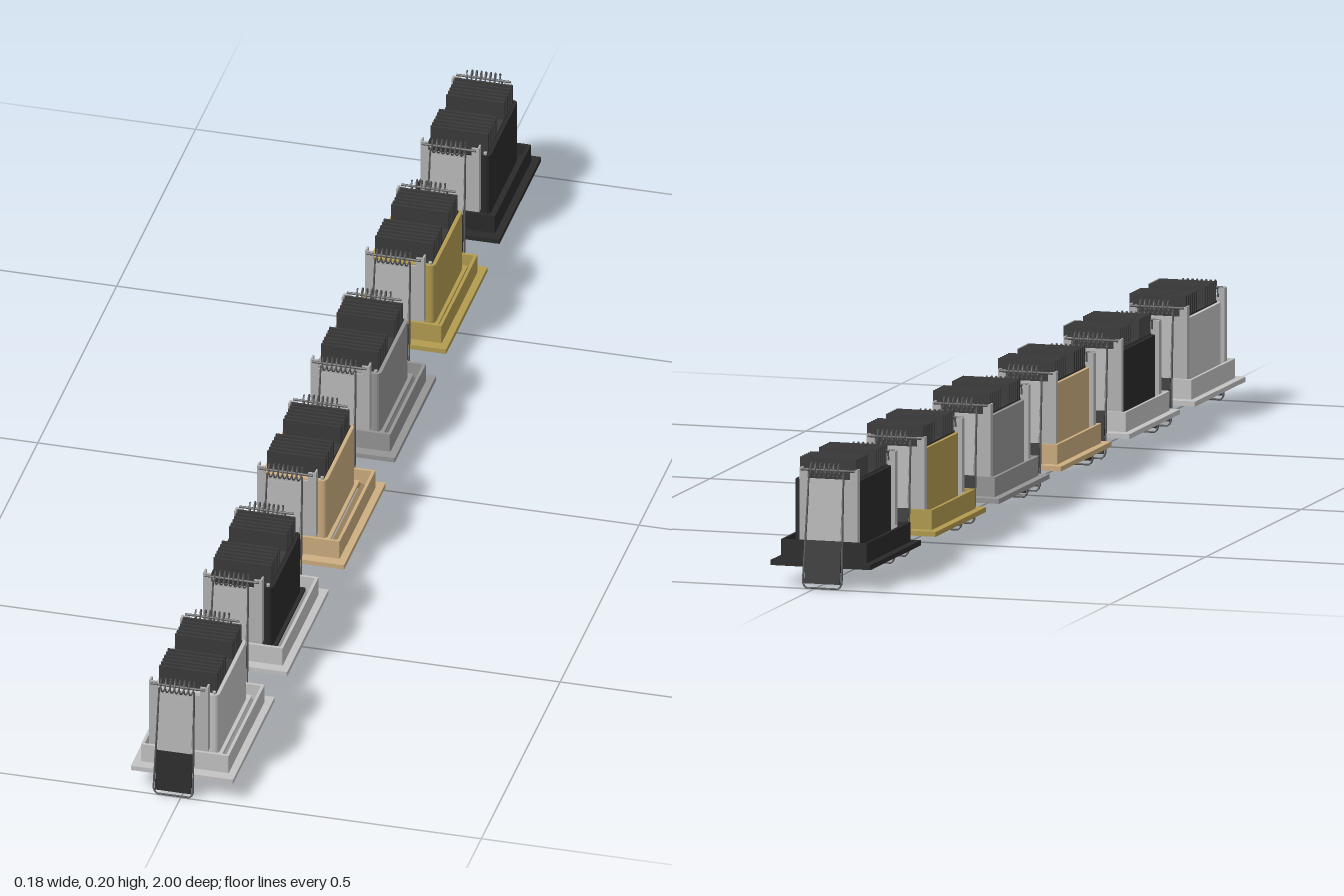
import * as THREE from 'three';

const mat = (name, color) => {
  const m = new THREE.MeshStandardMaterial({ color, side: THREE.DoubleSide });
  m.name = name;
  return m;
};

// Rectangle outline with optional corner radius, centred on (cx, cy)
function rect(Type, hx, hy, r = 0.002, cx = 0, cy = 0) {
  const p = new Type();
  p.moveTo(cx - hx + r, cy - hy);
  p.lineTo(cx + hx - r, cy - hy);
  p.quadraticCurveTo(cx + hx, cy - hy, cx + hx, cy - hy + r);
  p.lineTo(cx + hx, cy + hy - r);
  p.quadraticCurveTo(cx + hx, cy + hy, cx + hx - r, cy + hy);
  p.lineTo(cx - hx + r, cy + hy);
  p.quadraticCurveTo(cx - hx, cy + hy, cx - hx, cy + hy - r);
  p.lineTo(cx - hx, cy - hy + r);
  p.quadraticCurveTo(cx - hx, cy - hy, cx - hx + r, cy - hy);
  return p;
}

// Horizontal slab from y0 to y1 with holes
function slab(outline, holes, y0, y1) {
  outline.holes.push(...holes);
  const g = new THREE.ExtrudeGeometry(outline, { depth: y1 - y0, bevelEnabled: false, curveSegments: 4 });
  return g.rotateX(-Math.PI / 2).translate(0, y0, 0);
}

// Four sloping walls between two rectangles
function funnel(ax, az, ay, bx, bz, by) {
  const c = [[-1, -1], [1, -1], [1, 1], [-1, 1]];
  const pos = [];
  for (let i = 0; i < 4; i++) {
    const [p, q] = [c[i], c[(i + 1) % 4]];
    const a = [p[0] * ax, ay, p[1] * az], b = [q[0] * ax, ay, q[1] * az];
    const d = [p[0] * bx, by, p[1] * bz], e = [q[0] * bx, by, q[1] * bz];
    pos.push(...a, ...b, ...e, ...a, ...e, ...d);
  }
  const g = new THREE.BufferGeometry();
  g.setAttribute('position', new THREE.Float32BufferAttribute(pos, 3));
  g.computeVertexNormals();
  return g;
}

function add(parent, name, geo, material, x = 0, y = 0, z = 0) {
  const m = new THREE.Mesh(geo, material);
  m.name = name;
  m.position.set(x, y, z);
  parent.add(m);
  return m;
}

const box = (x, y, z) => new THREE.BoxGeometry(x, y, z);

// Sprung mounting clip on the +z end
function makeClip(steel, wire, rubber) {
  const g = new THREE.Group();
  g.name = 'springClip';
  // Upright bracket with two ears
  add(g, 'bracket', box(0.098, 0.125, 0.003), steel, 0, 0.1125, 0.103);
  for (const s of [-1, 1]) {
    add(g, 'bracketEar', box(0.013, 0.016, 0.003), steel, s * 0.0425, 0.183, 0.103);
    add(g, 'bracketSide', box(0.003, 0.12, 0.012), steel, s * 0.0475, 0.132, 0.098);
  }
  // Coil and its pin
  const pts = [];
  for (let i = 0; i <= 84; i++) {
    const a = (i / 12) * Math.PI * 2;
    pts.push(new THREE.Vector3(-0.027 + (0.054 * i) / 84, 0.19 + 0.011 * Math.cos(a), 0.11 + 0.011 * Math.sin(a)));
  }
  add(g, 'coil', new THREE.TubeGeometry(new THREE.CatmullRomCurve3(pts), 150, 0.0014, 5), wire);
  add(g, 'pin', new THREE.CylinderGeometry(0.002, 0.002, 0.09, 8).rotateZ(Math.PI / 2), wire, 0, 0.19, 0.11);
  // Leaning arm: blade, sleeve and wire loop
  const arm = new THREE.Group();
  arm.name = 'springArm';
  arm.position.set(0, 0.18, 0.117);
  arm.rotation.x = -Math.atan2(0.022, 0.18);
  g.add(arm);
  add(arm, 'blade', box(0.056, 0.1, 0.0015), steel, 0, -0.053, 0);
  add(arm, 'sleeve', box(0.06, 0.07, 0.004), rubber, 0, -0.137, 0);
  const loop = [[-0.029, 0.008], [-0.031, -0.09], [-0.033, -0.17], [-0.029, -0.179], [0.029, -0.179],
    [0.033, -0.17], [0.031, -0.09], [0.029, 0.008]].map(([x, y]) => new THREE.Vector3(x, y, 0));
  const path = new THREE.CurvePath();
  for (let i = 1; i < loop.length; i++) path.add(new THREE.LineCurve3(loop[i - 1], loop[i]));
  add(arm, 'wireLoop', new THREE.TubeGeometry(path, 80, 0.0016, 6), wire);
  return g;
}

function makeLight(trim, shell, m, trimX) {
  const g = new THREE.Group();
  g.name = 'twinDownlight';

  // Trim frame: flange, collar wall and sloping inner bevel
  const frame = new THREE.Group();
  frame.name = 'trimFrame';
  frame.position.x = trimX;
  g.add(frame);
  add(frame, 'flange', slab(rect(THREE.Shape, 0.085, 0.132), [rect(THREE.Path, 0.069, 0.114)], 0.035, 0.043), trim);
  add(frame, 'collar', slab(rect(THREE.Shape, 0.073, 0.114), [rect(THREE.Path, 0.068, 0.109)], 0.043, 0.075), trim);
  add(frame, 'innerBevel', funnel(0.07, 0.115, 0.036, 0.054, 0.094, 0.06), trim);

  // Lamp housing with two square openings
  const body = new THREE.Group();
  body.name = 'housing';
  body.position.x = -0.004;
  g.add(body);
  const openings = [-1, 1].map((s) => rect(THREE.Path, 0.041, 0.037, 0.001, 0, s * 0.043));
  add(body, 'baffle', slab(rect(THREE.Shape, 0.06, 0.098), openings, 0.058, 0.062), shell);
  add(body, 'housingWall', slab(rect(THREE.Shape, 0.054, 0.09, 0.01), [rect(THREE.Path, 0.051, 0.087, 0.009)], 0.06, 0.166), shell);
  add(body, 'housingTop', slab(rect(THREE.Shape, 0.054, 0.09, 0.01), [], 0.166, 0.17), shell);
  for (const s of [-1, 1]) {
    // Reflector and lamp
    add(body, 'reflector', funnel(0.041, 0.037, 0.06, 0.026, 0.024, 0.11), shell, 0, 0, s * 0.043);
    add(body, 'lampPlate', box(0.054, 0.003, 0.05), shell, 0, 0.111, s * 0.043);
    for (let i = -1; i <= 1; i++) for (let j = -1; j <= 1; j++) {
      add(body, 'lampLens', new THREE.CylinderGeometry(0.006, 0.0045, 0.008, 10), m.sink, i * 0.015, 0.106, s * 0.043 + j * 0.014);
    }
    // Heat sink fins
    for (let i = 0; i < 6; i++) {
      add(body, 'heatSinkFin', box(0.096, 0.036, 0.004), m.sink, 0, 0.187, s * 0.05 + (i - 2.5) * 0.0105);
    }
    // Corner screws
    for (const t of [-1, 1]) {
      add(body, 'screw', new THREE.CylinderGeometry(0.003, 0.003, 0.004, 8), m.steel, t * 0.045, 0.172, s * 0.084);
    }
  }
  add(body, 'heatSinkBase', box(0.096, 0.003, 0.165), m.sink, 0, 0.1715, 0);

  // One clip at each end
  for (const s of [0, 1]) {
    const clip = makeClip(m.steel, m.wire, m.rubber);
    clip.position.x = -0.013;
    clip.rotation.y = s * Math.PI;
    g.add(clip);
  }
  return g;
}

export function createModel() {
  const root = new THREE.Group();
  root.name = 'downlightRange';
  const m = {
    steel: mat('springSteel', 0xb4b4b4),
    wire: mat('darkWire', 0x5a5a5a),
    rubber: mat('rubber', 0x2c2c2c),
    sink: mat('heatSinkGrey', 0x3a3a3a),
  };
  const light = mat('lightGrey', 0xc4c4c4);
  const black = mat('black', 0x2a2a2a);
  const tan = mat('tan', 0xcdae80);
  const grey = mat('midGrey', 0x969696);
  const gold = mat('gold', 0xb39c50);
  const range = [
    [light, light, 0.86, 0], [light, black, 0.517, 0], [tan, tan, 0.175, 0.005],
    [grey, grey, -0.165, 0], [gold, gold, -0.51, -0.005], [black, black, -0.86, -0.008],
  ];
  for (const [trim, shell, z, trimX] of range) {
    const unit = makeLight(trim, shell, m, trimX);
    unit.position.z = z;
    root.add(unit);
  }
  return root;
}
